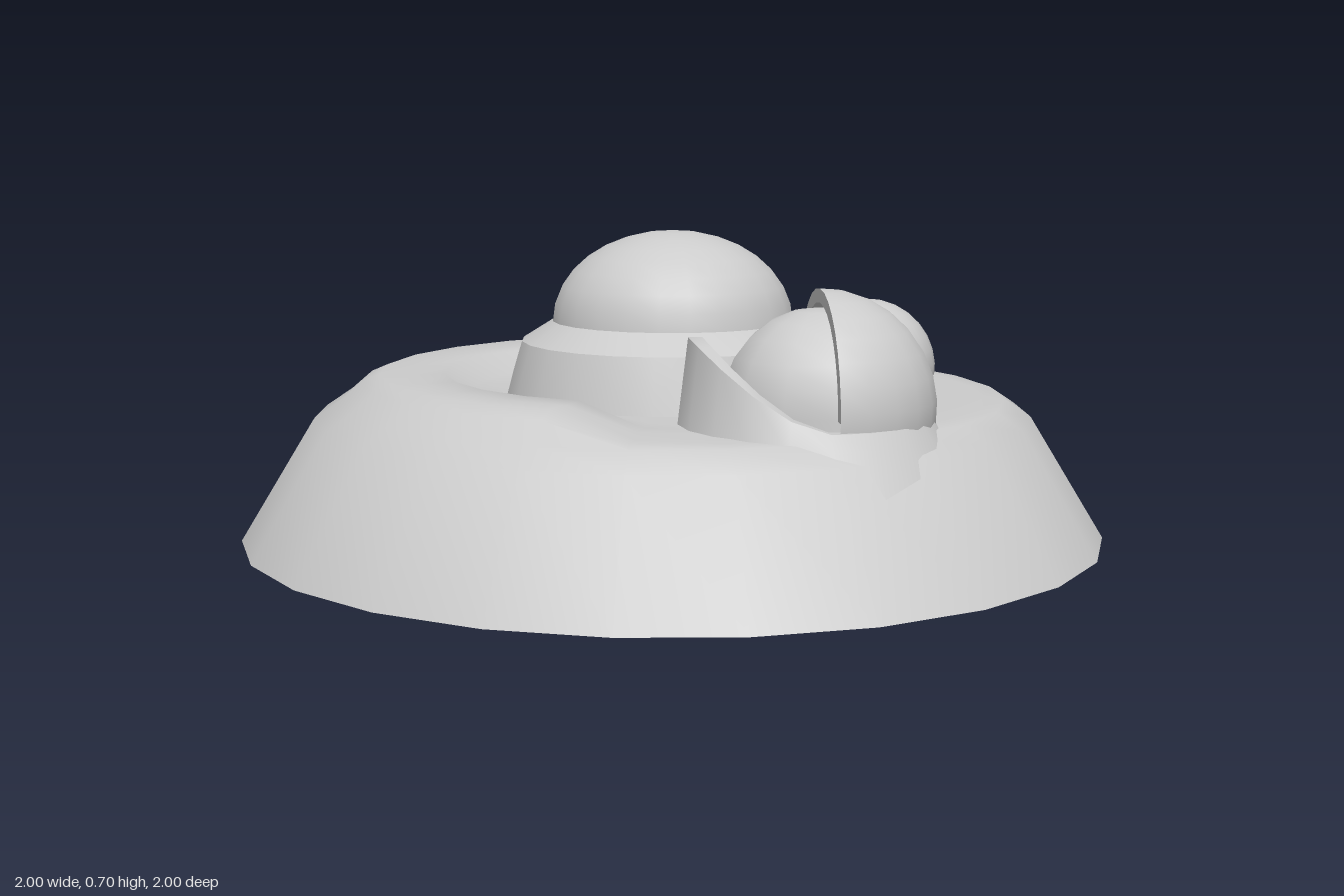
import * as THREE from 'three';
import { mergeVertices, toCreasedNormals } from 'three/addons/utils/BufferGeometryUtils.js';

const material = new THREE.MeshStandardMaterial({ color: 0xcccccc, side: THREE.DoubleSide });

function add(parent, name, geometry) {
  const mesh = new THREE.Mesh(geometry, material);
  mesh.name = name;
  parent.add(mesh);
  return mesh;
}

// Turned surface; profile rows are [radius, height, lift], and lift is scaled by rule(x, z)
function turned(profile, sides, crease, rule = () => 0) {
  const points = profile.map(([r, y]) => new THREE.Vector2(r, y));
  let geometry = new THREE.LatheGeometry(points, sides);
  const pos = geometry.attributes.position;
  for (let i = 0; i < pos.count; i++) {
    const lift = profile[i % profile.length][2] || 0;
    pos.setY(i, pos.getY(i) + lift * rule(pos.getX(i), pos.getZ(i)));
  }
  geometry.deleteAttribute('uv');
  geometry.deleteAttribute('normal');
  geometry = mergeVertices(geometry, 1e-4);
  return toCreasedNormals(geometry, crease);
}

// Hooded ball in a collar; the hood opens towards (openX, openZ)
function hoodedBall(name, r, x, y, z, openX, openZ, rise) {
  const group = new THREE.Group();
  group.name = name;
  group.position.set(x, y, z);
  group.rotation.y = Math.atan2(-openX, -openZ);

  // inner ball running down into an open tube
  const inner = [[r * 0.84, -r * 0.45]];
  for (let i = 0; i <= 6; i++) {
    const a = (i / 6) * Math.PI / 2;
    inner.push([r * 0.84 * Math.cos(a), r * 0.84 * Math.sin(a)]);
  }
  add(group, name + 'Core', turned(inner, 12, 0.8));

  // hood: quarter-sphere shell with a flat cut edge
  add(group, name + 'Hood', new THREE.SphereGeometry(r, 12, 8, 0, Math.PI, 0, Math.PI / 2 + 0.15));
  add(group, name + 'HoodLining', new THREE.SphereGeometry(r * 0.88, 12, 8, 0, Math.PI, 0, Math.PI / 2));
  add(group, name + 'HoodEdge', new THREE.RingGeometry(r * 0.88, r, 16, 1, 0, Math.PI));

  // flared collar, its lip rising on the open side
  const collar = [
    [r * 1.38, -r * 0.72],
    [r * 1.14, -r * 0.22],
    [r * 1.04, -r * 0.08, rise],
    [r * 0.92, -r * 0.08, rise],
    [r * 0.84, -r * 0.3],
  ];
  const lip = (px, pz) => Math.pow(Math.max(0, -pz / Math.hypot(px, pz)), 1.6);
  const mesh = add(group, name + 'Collar', turned(collar, 20, 0.6, lip));
  mesh.position.z = -r * 0.08;
  return group;
}

export function createModel() {
  const model = new THREE.Group();
  model.name = 'domedBase';

  // hollow base with a raised ridge around its right half
  const base = [
    [1, 0], [0.83, 0.28], [0.77, 0.32], [0.72, 0.323, 0.04], [0.68, 0.325, 0.055],
    [0.6, 0.325, 0.052], [0.53, 0.325, 0.052], [0.47, 0.325, 0.008], [0.37, 0.325],
  ];
  add(model, 'base', turned(base, 24, 0.7, (x) => (x < -0.01 ? 1 : 0)));

  // central drum
  const drum = [[0.39, 0.315], [0.37, 0.39], [0.352, 0.45], [0.28, 0.495]];
  add(model, 'drum', turned(drum, 24, 0.5));

  // central dome
  const dome = [];
  for (let i = 0; i <= 8; i++) {
    const a = (i / 8) * Math.PI / 2;
    dome.push([0.28 * Math.cos(a), 0.495 + 0.208 * Math.sin(a)]);
  }
  add(model, 'dome', turned(dome, 24, 0.7));

  // two hooded balls on the left half
  model.add(hoodedBall('largeBall', 0.25, 0.36, 0.36, 0.41, -0.976, 0.22, 0.17));
  model.add(hoodedBall('smallBall', 0.17, 0.445, 0.34, -0.38, -0.87, -0.49, 0.06));
  return model;
}
